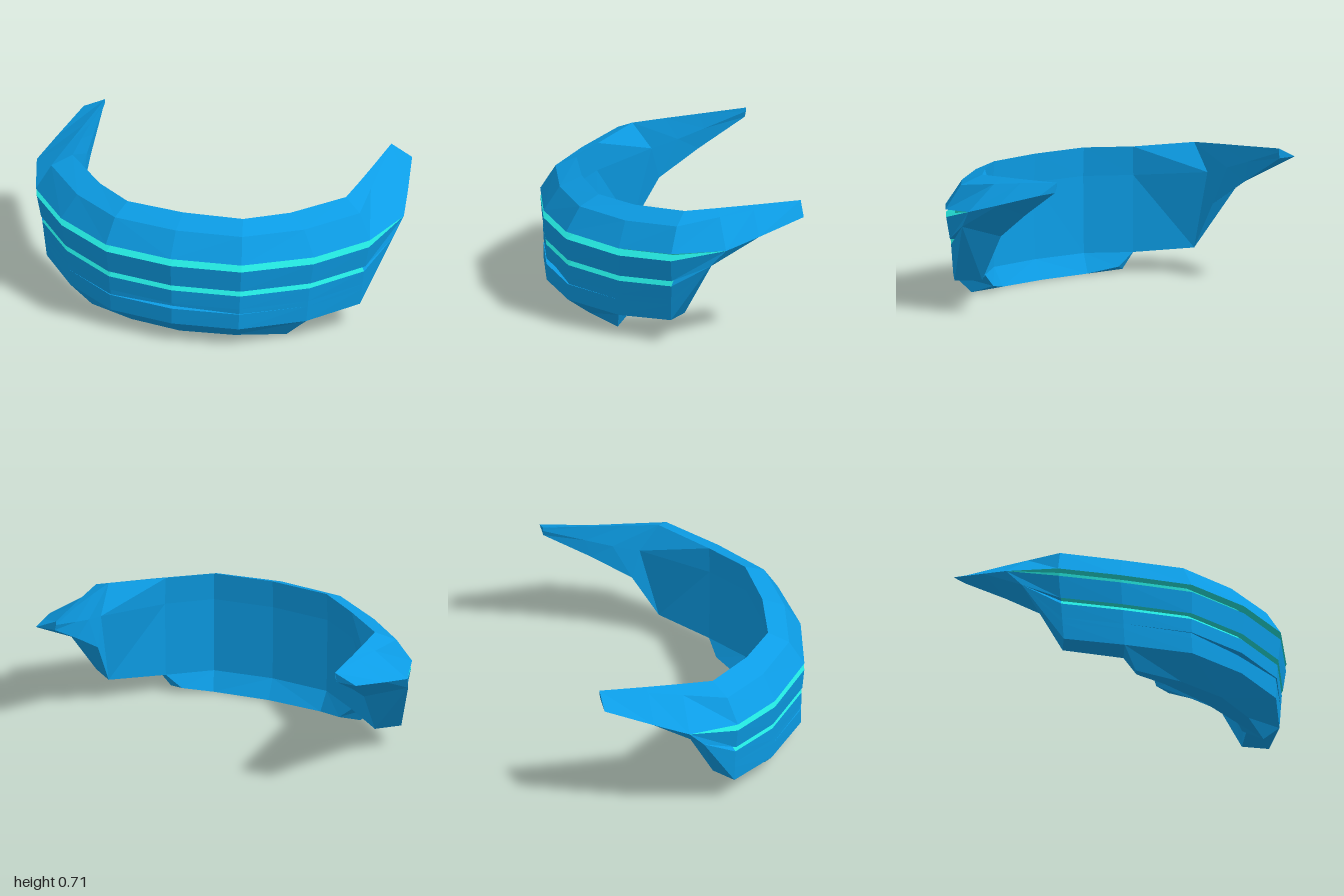
import * as THREE from 'three';

const blue = new THREE.MeshStandardMaterial({ color: 0x0c9de6 });
blue.name = 'blue';
const cyan = new THREE.MeshStandardMaterial({ color: 0x22e2da });
cyan.name = 'cyan';

// Flat-shaded skin over a row of closed sections; keep(level, strip) picks the faces to draw
function loft(name, sections, material, keep, capped = true) {
  const pos = [];
  const tri = (a, b, c) => {
    const ab = new THREE.Vector3().subVectors(b, a);
    const ac = new THREE.Vector3().subVectors(c, a);
    if (ab.cross(ac).length() > 1e-7) pos.push(...a.toArray(), ...b.toArray(), ...c.toArray());
  };
  const n = sections[0].length;
  for (let s = 0; s < sections.length - 1; s++) {
    for (let l = 0; l < n; l++) {
      if (!keep(l, s)) continue;
      const m = (l + 1) % n;
      const a = sections[s][l], b = sections[s + 1][l];
      const c = sections[s + 1][m], d = sections[s][m];
      // mirrored diagonals keep both halves alike
      if (s < (sections.length - 1) / 2) { tri(d, c, a); tri(c, b, a); }
      else { tri(d, c, b); tri(d, b, a); }
    }
  }
  if (capped) {
    const first = sections[0], last = sections[sections.length - 1];
    for (let l = 1; l < n - 1; l++) {
      tri(last[0], last[l], last[l + 1]);
      tri(first[0], first[l + 1], first[l]);
    }
  }
  const geo = new THREE.BufferGeometry();
  geo.setAttribute('position', new THREE.Float32BufferAttribute(pos, 3));
  geo.computeVertexNormals();
  const mesh = new THREE.Mesh(geo, material);
  mesh.name = name;
  return mesh;
}

// Sections from the centre to the left end, repeated mirrored on the right
function mirrored(half) {
  const flip = half.slice(1).reverse().map(sec => sec.map(p => new THREE.Vector3(-p.x, p.y, p.z)));
  return [...flip, ...half];
}

const V = (x, y, z) => new THREE.Vector3(x, y, z);
const repeat = (count, x, y, z) => Array.from({ length: count }, () => V(x, y, z));

export function createModel() {
  const group = new THREE.Group();
  group.name = 'faceGuard';

  // Plan stations: outer x, z, inner x, z, rise, slit depth
  const stations = [
    [0, 0.6, 0, 0.4, 0, 1],
    [0.37, 0.55, 0.315, 0.37, 0, 0.2],
    [0.69, 0.335, 0.52, 0.22, 0, 0],
    [0.91, 0.1, 0.745, 0, 0.025, 0],
  ];

  // Wall levels: height, inset from outer to inner, 1 if part of the slit
  const levels = [
    [0.65, 1], [0.6, 0.42], [0.475, 0],               // top and brow
    [0.472, 0.25], [0.455, 0.25], [0.435, 0],         // upper groove
    [0.32, 0.05], [0.318, 0.24], [0.29, 0.07],        // lower groove
    [0.215, 0.075], [0.215, 0.075, 1], [0.185, 0.075, 1], [0.185, 0.075], // slit
    [0.1, 0.08], [0.1, 1], [0.5, 0.96],               // bottom and inside
  ];

  const half = stations.map(([ox, oz, ix, iz, rise, slit]) => levels.map(([y, inset, inSlit]) => {
    const t = inset + (inSlit ? 0.17 * slit : 0);
    const tuck = inset < 0.9 ? 1 - 0.13 * Math.max(0, 0.475 - y) : 1;
    return V((ox + (ix - ox) * t) * tuck, y + rise, oz + (iz - oz) * t);
  }));
  // the inside crease runs further back at the cheek
  half[3][15].set(0.745, 0.53, -0.1);

  // Side corners where the bands run together, then the arm and its rear tip
  half.push([
    V(0.758, 0.685, -0.17), V(0.82, 0.656, -0.17),
    ...repeat(4, 1, 0.53, -0.17), ...repeat(8, 0.97, 0.44, -0.09),
    V(0.745, 0.37, -0.14), V(0.752, 0.57, -0.24),
  ], [
    V(0.768, 0.695, -0.35), V(0.803, 0.68, -0.35),
    ...repeat(12, 0.958, 0.582, -0.35),
    V(0.77, 0.508, -0.35), V(0.765, 0.615, -0.38),
  ], [
    ...repeat(2, 0.78, 0.71, -0.6),
    ...repeat(12, 0.895, 0.655, -0.595),
    V(0.79, 0.657, -0.595), V(0.78, 0.69, -0.6),
  ]);

  const wall = mirrored(half);
  const upperGroove = l => l >= 2 && l <= 4;
  const lowerGroove = (l, s) => (l === 6 || l === 7) && s >= 3 && s <= 8;
  group.add(loft('guardShell', wall, blue, (l, s) => !upperGroove(l) && !lowerGroove(l, s)));
  group.add(loft('upperGroove', wall, cyan, upperGroove, false));
  group.add(loft('lowerGroove', wall, cyan, lowerGroove, false));

  // Chin below the front wall: outer foot, then inner foot
  const feet = [
    [0, 0, 0.455, 0, 0, 0.345],
    [0.28, 0, 0.41, 0.3, 0, 0.325],
    [0.53, 0, 0.31, 0.44, 0.03, 0.243],
  ];
  const chin = feet.map(([ox, oy, oz, ix, iy, iz], i) => [
    half[i][13].clone(), V(ox, oy, oz), V(ix, iy, iz), half[i][14].clone(),
  ]);
  group.add(loft('chin', mirrored(chin), blue, l => l < 3));

  return group;
}
